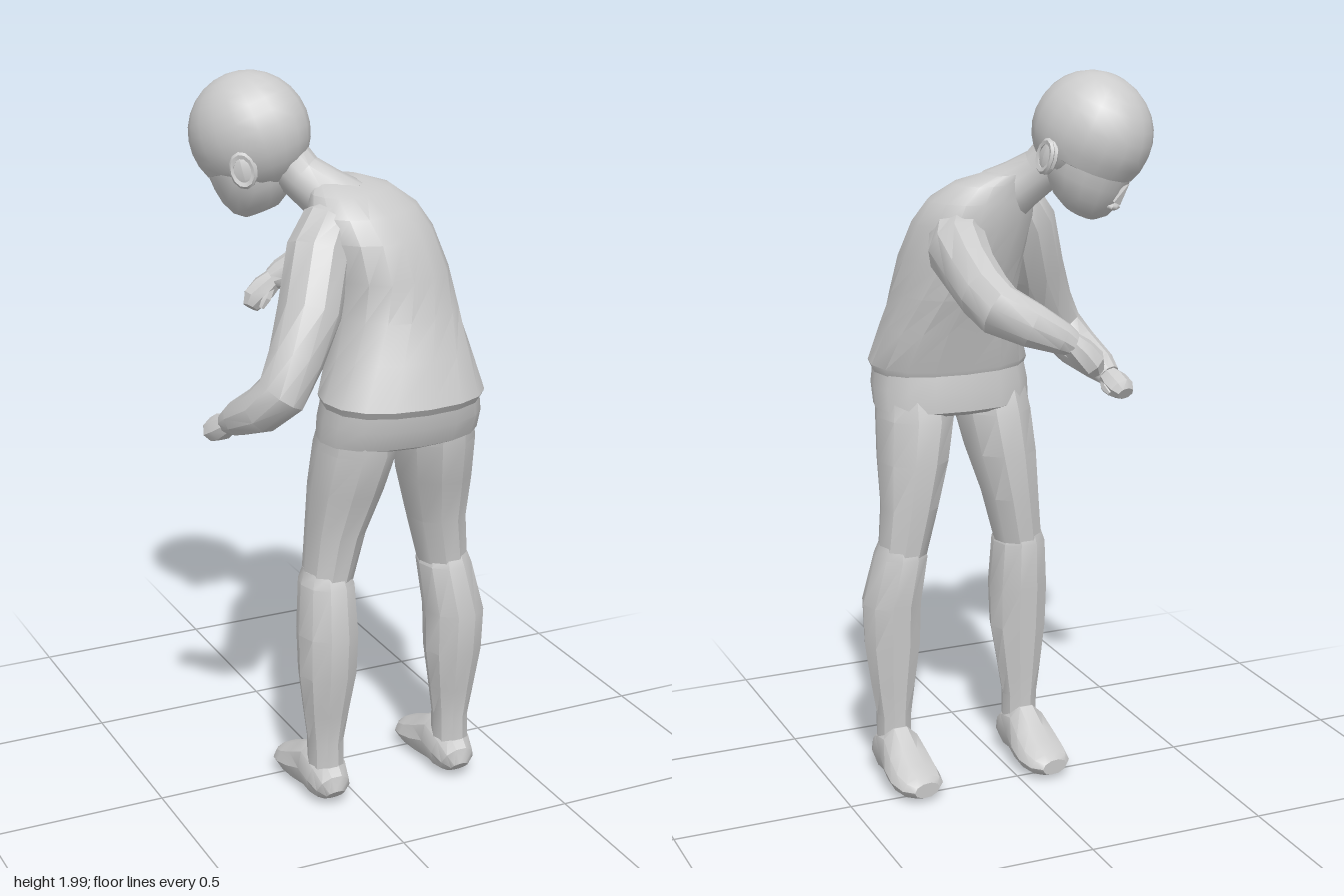
import * as THREE from 'three';
import { toCreasedNormals } from 'three/addons/utils/BufferGeometryUtils.js';

const material = new THREE.MeshStandardMaterial({ color: 0xcccccc });
const UP = new THREE.Vector3(0, 1, 0);
const SHOULDER_AXIS = new THREE.Vector3(0.81, 0, -0.59);

function addMesh(parent, name, geometry, crease = 0.6) {
  const mesh = new THREE.Mesh(toCreasedNormals(geometry, crease), material);
  mesh.name = name;
  parent.add(mesh);
  return mesh;
}

// Skin closed elliptical rings [x, y, z, radiusU, radiusV, yaw].
// With a reference vector the rings turn with the path, otherwise they stay level.
// A power below 1 makes the rings squarer; floor flattens the underside.
function loft(rings, sides, { ref = null, floor = -Infinity, power = 1 } = {}) {
  const centres = rings.map((r) => new THREE.Vector3(r[0], r[1], r[2]));
  const round = (w) => Math.sign(w) * Math.abs(w) ** power;
  const positions = [];
  const index = [];
  const last = rings.length - 1;
  rings.forEach(([, , , ru, rv, yaw = 0], k) => {
    const t = centres[Math.min(k + 1, last)].clone().sub(centres[Math.max(k - 1, 0)]);
    const u = new THREE.Vector3();
    if (ref) {
      t.normalize();
      u.crossVectors(ref, t).normalize();
    } else {
      t.set(0, Math.sign(t.y), 0);
      u.set(Math.cos(yaw), 0, -Math.sin(yaw));
    }
    const v = new THREE.Vector3().crossVectors(t, u);
    for (let i = 0; i < sides; i++) {
      const a = (i / sides) * Math.PI * 2;
      const p = centres[k].clone();
      p.addScaledVector(u, round(Math.cos(a)) * ru).addScaledVector(v, round(Math.sin(a)) * rv);
      positions.push(p.x, Math.max(p.y, floor), p.z);
    }
  });
  for (let k = 0; k < last; k++) {
    for (let i = 0; i < sides; i++) {
      const j = (i + 1) % sides;
      const a = k * sides + i, b = k * sides + j;
      index.push(a, b, b + sides, a, b + sides, a + sides);
    }
  }
  // End caps
  const start = positions.length / 3;
  for (const c of [centres[0], centres[last]]) positions.push(c.x, Math.max(c.y, floor), c.z);
  for (let i = 0; i < sides; i++) {
    const j = (i + 1) % sides;
    index.push(start, j, i, start + 1, last * sides + i, last * sides + j);
  }
  const geometry = new THREE.BufferGeometry();
  geometry.setAttribute('position', new THREE.Float32BufferAttribute(positions, 3));
  geometry.setIndex(index);
  return geometry;
}

function buildLeg(side, hipX, kneeX, ankleX) {
  const leg = new THREE.Group();
  leg.name = side + 'Leg';
  const mid = (f) => hipX + (kneeX - hipX) * f;
  addMesh(leg, side + 'Thigh', loft([
    [mid(0), 1.12, 0.225, 0.1, 0.118],
    [mid(0.05), 1.05, 0.212, 0.108, 0.13],
    [mid(0.3), 0.93, 0.19, 0.1, 0.114],
    [mid(0.6), 0.8, 0.17, 0.081, 0.09],
    [kneeX, 0.64, 0.172, 0.066, 0.074],
  ], 10));
  // Calf, fuller behind, with a lip over the knee
  const calfX = ankleX * 0.9 + kneeX * 0.1;
  addMesh(leg, side + 'Calf', loft([
    [kneeX, 0.695, 0.172, 0.062, 0.07],
    [kneeX, 0.66, 0.175, 0.075, 0.085],
    [calfX, 0.52, 0.19, 0.084, 0.09],
    [calfX, 0.4, 0.19, 0.081, 0.082],
    [ankleX, 0.28, 0.182, 0.064, 0.064],
    [ankleX, 0.19, 0.178, 0.05, 0.054],
    [ankleX, 0.07, 0.181, 0.05, 0.054],
  ], 10));
  // Foot, from heel to toes
  addMesh(leg, side + 'Foot', loft([
    [ankleX, 0.045, 0.245, 0.026, 0.026],
    [ankleX, 0.06, 0.23, 0.05, 0.052],
    [ankleX, 0.075, 0.19, 0.061, 0.072],
    [ankleX, 0.085, 0.13, 0.062, 0.08],
    [ankleX, 0.066, 0.07, 0.07, 0.062],
    [ankleX, 0.053, 0.01, 0.073, 0.045],
    [ankleX - 0.004, 0.046, -0.035, 0.063, 0.034],
    [ankleX - 0.008, 0.045, -0.06, 0.04, 0.022],
  ], 10, { ref: UP, floor: 0.008 }));
  return leg;
}

function buildArm(side, sleeve, hand, thumb) {
  const arm = new THREE.Group();
  arm.name = side + 'Arm';
  const along = { ref: SHOULDER_AXIS };
  addMesh(arm, side + 'Sleeve', loft(sleeve, 10, along));
  addMesh(arm, side + 'Hand', loft(hand, 8, along), 0.5);
  addMesh(arm, side + 'Thumb', loft(thumb, 6, along), 0.5);
  return arm;
}

function buildHead() {
  const head = new THREE.Group();
  head.name = 'head';
  head.position.set(-0.18, 1.84, -0.078);
  head.rotation.set(-0.4, 0.59, 0.08, 'YXZ');

  // Hair cap: a ball cut level at the fringe and lower at the nape
  const hair = new THREE.SphereGeometry(0.16, 18, 14);
  const p = hair.attributes.position;
  for (let i = 0; i < p.count; i++) {
    const z = p.getZ(i);
    const cut = -0.07 - 0.08 * THREE.MathUtils.smoothstep(z, -0.06, 0.04);
    p.setXYZ(i, p.getX(i) * 0.89, Math.max(p.getY(i), cut), z * 1.04);
  }
  addMesh(head, 'hair', hair);

  addMesh(head, 'face', loft([
    [0, 0, -0.02, 0.12, 0.12],
    [0, -0.06, -0.026, 0.12, 0.12],
    [0, -0.105, -0.03, 0.114, 0.116],
    [0, -0.145, -0.038, 0.1, 0.104],
    [0, -0.182, -0.048, 0.074, 0.08],
    [0, -0.203, -0.055, 0.042, 0.05],
  ], 14));
  const nose = addMesh(head, 'nose', new THREE.ConeGeometry(0.022, 0.06, 6));
  nose.position.set(0, -0.097, -0.146);
  nose.rotation.x = -0.35;
  const mouth = addMesh(head, 'lips', new THREE.SphereGeometry(0.03, 8, 6));
  mouth.scale.set(1, 0.35, 0.5);
  mouth.position.set(0, -0.145, -0.138);

  for (const s of [-1, 1]) {
    const ear = new THREE.Group();
    ear.name = s > 0 ? 'leftEar' : 'rightEar';
    ear.position.set(s * 0.126, -0.078, 0.028);
    ear.rotation.set(0.15, s * -0.4, 0);
    addMesh(ear, 'earShell', new THREE.SphereGeometry(1, 8, 6)).scale.set(0.018, 0.05, 0.036);
    const rim = addMesh(ear, 'earRim', new THREE.TorusGeometry(0.028, 0.007, 5, 12));
    rim.rotation.y = Math.PI / 2;
    rim.scale.y = 1.4;
    rim.position.x = s * 0.012;
    head.add(ear);
  }
  return head;
}

export function createModel() {
  const figure = new THREE.Group();
  figure.name = 'bendingFigure';

  // Shirt, twisting from the hips up to the shoulders
  addMesh(figure, 'shirt', loft([
    [0.106, 1.17, 0.243, 0.215, 0.155, 0.0],
    [0.106, 1.19, 0.245, 0.223, 0.166, 0.0],
    [0.112, 1.3, 0.214, 0.192, 0.159, 0.12],
    [0.115, 1.4, 0.172, 0.173, 0.158, 0.3],
    [0.1, 1.5, 0.15, 0.174, 0.157, 0.5],
    [0.075, 1.6, 0.126, 0.18, 0.147, 0.6],
    [0.058, 1.66, 0.106, 0.168, 0.124, 0.6],
    [0.036, 1.705, 0.08, 0.132, 0.088, 0.6],
    [0.01, 1.728, 0.055, 0.08, 0.052, 0.6],
  ], 16, { power: 0.88 }));
  addMesh(figure, 'shorts', loft([
    [0.105, 1.2, 0.243, 0.21, 0.155],
    [0.105, 1.13, 0.235, 0.222, 0.157],
    [0.105, 1.075, 0.222, 0.222, 0.143],
    [0.104, 1.06, 0.218, 0.17, 0.115],
  ], 16, { power: 0.88 }));

  // Neck, flaring into the shoulders
  addMesh(figure, 'neck', loft([
    [0.015, 1.655, 0.085, 0.085, 0.085],
    [-0.03, 1.695, 0.05, 0.07, 0.07],
    [-0.075, 1.735, 0.015, 0.062, 0.062],
    [-0.12, 1.79, -0.02, 0.07, 0.07],
  ], 12, { ref: SHOULDER_AXIS }));

  figure.add(buildHead());

  // Left arm reaches forward, right arm hangs with a bent elbow
  figure.add(buildArm('left', [
    [0.12, 1.6, 0.09, 0.04, 0.04],
    [0.155, 1.575, 0.045, 0.08, 0.075],
    [0.178, 1.545, -0.02, 0.088, 0.078],
    [0.185, 1.505, -0.12, 0.078, 0.067],
    [0.185, 1.465, -0.22, 0.073, 0.065],
    [0.172, 1.437, -0.285, 0.07, 0.065],
    [0.1, 1.4, -0.328, 0.06, 0.054],
    [0.03, 1.366, -0.357, 0.043, 0.04],
    [0.005, 1.352, -0.363, 0.032, 0.034],
  ], [
    [0.015, 1.36, -0.36, 0.028, 0.03],
    [-0.015, 1.33, -0.37, 0.037, 0.041],
    [-0.045, 1.3, -0.372, 0.036, 0.042],
    [-0.06, 1.277, -0.367, 0.022, 0.028],
  ], [
    [-0.005, 1.335, -0.35, 0.014, 0.014],
    [-0.025, 1.305, -0.337, 0.015, 0.015],
    [-0.04, 1.28, -0.337, 0.008, 0.008],
  ]));
  figure.add(buildArm('right', [
    [-0.02, 1.675, 0.125, 0.03, 0.03],
    [-0.056, 1.64, 0.145, 0.07, 0.07],
    [-0.096, 1.575, 0.17, 0.084, 0.083],
    [-0.143, 1.43, 0.215, 0.084, 0.083],
    [-0.2, 1.32, 0.255, 0.073, 0.073],
    [-0.245, 1.24, 0.268, 0.069, 0.066],
    [-0.283, 1.187, 0.222, 0.061, 0.059],
    [-0.318, 1.145, 0.145, 0.046, 0.046],
    [-0.328, 1.125, 0.11, 0.033, 0.033],
  ], [
    [-0.326, 1.128, 0.12, 0.028, 0.03],
    [-0.336, 1.11, 0.09, 0.036, 0.044],
    [-0.345, 1.095, 0.063, 0.033, 0.044],
    [-0.35, 1.085, 0.047, 0.02, 0.03],
  ], [
    [-0.315, 1.115, 0.105, 0.014, 0.014],
    [-0.303, 1.1, 0.075, 0.015, 0.015],
    [-0.307, 1.087, 0.055, 0.008, 0.008],
  ]));

  figure.add(buildLeg('left', 0.215, 0.278, 0.305));
  figure.add(buildLeg('right', -0.008, -0.078, -0.082));
  return figure;
}
